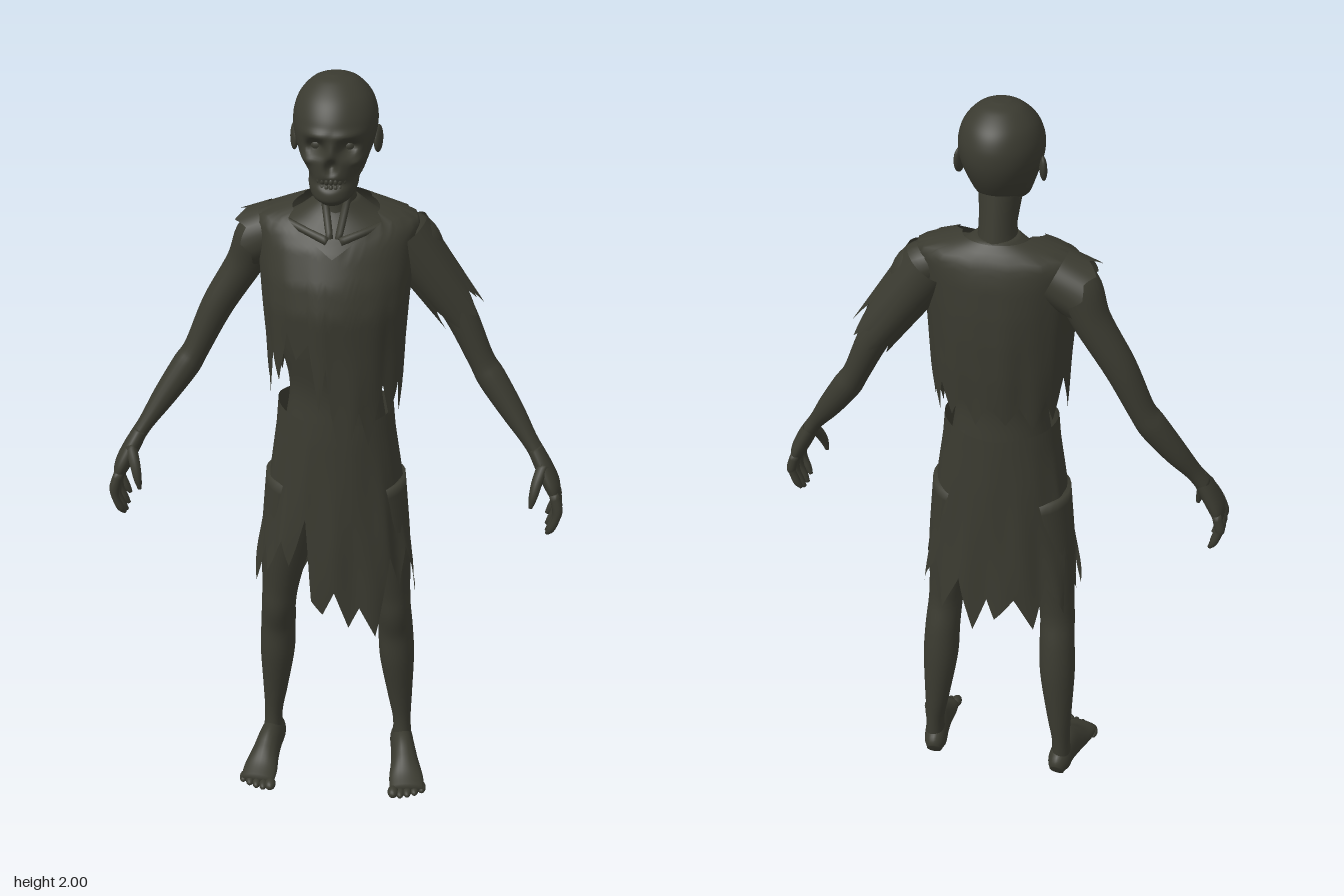
import * as THREE from 'three';

const material = new THREE.MeshStandardMaterial({ color: 0x3a3a30, side: THREE.DoubleSide });
material.name = 'dark olive grey';

// Closed-around surface from fn(u, v) -> Vector3, with shared vertices for smooth shading
function surface(name, nu, nv, fn) {
  const pos = [], idx = [];
  for (let i = 0; i <= nv; i++) {
    for (let j = 0; j < nu; j++) {
      pos.push(...fn(j / nu, i / nv, i).toArray());
      if (i === nv) continue;
      const a = i * nu + j, b = i * nu + (j + 1) % nu;
      idx.push(a, a + nu, b, b, a + nu, b + nu);
    }
  }
  const geo = new THREE.BufferGeometry();
  geo.setAttribute('position', new THREE.Float32BufferAttribute(pos, 3));
  geo.setIndex(idx);
  geo.computeVertexNormals();
  const mesh = new THREE.Mesh(geo, material);
  mesh.name = name;
  return mesh;
}

// Smooth closed loft through rings [x, y, z, halfWidth, halfDepth]
function limb(name, rings, { nu = 20, nv = 32, level = false, ref = [0, 0, 1], deform } = {}) {
  const path = new THREE.CatmullRomCurve3(rings.map(r => new THREE.Vector3(r[0], r[1], r[2])), false, 'catmullrom');
  const size = new THREE.CatmullRomCurve3(rings.map(r => new THREE.Vector3(r[3], r[4], 0)), false, 'catmullrom');
  return surface(name, nu, nv + 2, (u, v, i) => {
    const t = THREE.MathUtils.clamp((i - 1) / nv, 0, 1);
    const p = path.getPoint(t), s = size.getPoint(t);
    if (i === 0 || i === nv + 2) s.set(0, 0, 0);
    const T = level ? new THREE.Vector3(0, 1, 0)
      : path.getPoint(Math.min(1, t + 0.01)).sub(path.getPoint(Math.max(0, t - 0.01))).normalize();
    const W = new THREE.Vector3(...ref);
    W.addScaledVector(T, -W.dot(T)).normalize();
    const U = T.clone().cross(W);
    p.addScaledVector(U, s.x * Math.cos(u * Math.PI * 2)).addScaledVector(W, s.y * Math.sin(u * Math.PI * 2));
    if (deform) deform(p);
    return p;
  });
}

// Piecewise-linear lookup in rows [key, value, ...] with ascending keys
function lookup(rows, k) {
  let i = 0;
  while (i < rows.length - 2 && k > rows[i + 1][0]) i++;
  const a = rows[i], b = rows[i + 1];
  const t = THREE.MathUtils.clamp((k - a[0]) / (b[0] - a[0]), 0, 1);
  return a.slice(1).map((q, n) => q + (b[n + 1] - q) * t);
}

// Hanging cloth: profile rows [y, halfWidth, zFront, zBack], edges given by [degrees, y]
function cloth(name, profile, top, hem, ripple) {
  return surface(name, 180, 28, (u, v) => {
    const th = u * Math.PI * 2, deg = u * 360;
    const lo = lookup(hem, deg)[0], hi = lookup(top, deg)[0];
    const y = lo + (hi - lo) * v;
    const [a, zf, zb] = lookup(profile, y);
    const k = 1 + ripple * (1 - v) * (Math.sin(9 * th + y * 8) + 0.6 * Math.sin(16 * th - y * 5));
    return new THREE.Vector3(a * k * Math.cos(th), y, (zf + zb) / 2 + (zf - zb) / 2 * k * Math.sin(th));
  });
}

// Torn sleeve along a straight line, with a zigzag end
function sleeve(name, from, to, r0, r1, jag) {
  const A = new THREE.Vector3(...from), B = new THREE.Vector3(...to);
  const T = B.clone().sub(A).normalize(), W = new THREE.Vector3(0, 0, 1);
  W.addScaledVector(T, -W.dot(T)).normalize();
  const U = T.clone().cross(W);
  return surface(name, 84, 10, (u, v) => {
    const th = u * Math.PI * 2, w = (u * 7) % 1;
    const tooth = Math.abs(w - 0.5) * 2 * jag * (0.7 + 0.3 * Math.sin(th * 2 + 1));
    const r = r0 + (r1 - r0) * v;
    return A.clone().lerp(B, v * (1 - tooth)).addScaledVector(U, r * Math.cos(th)).addScaledVector(W, r * 1.1 * Math.sin(th));
  });
}

function ball(name, x, y, z, sx, sy, sz) {
  const m = new THREE.Mesh(new THREE.SphereGeometry(1, 16, 12), material);
  m.name = name;
  m.position.set(x, y, z);
  m.scale.set(sx, sy, sz);
  return m;
}

// Face dents [x, y, width, height, depth]: sockets, brow ridge, nose hollow, mouth, cheekbone
const dents = [[0.037, 1.857, 0.019, 0.016, 0.034], [0.035, 1.888, 0.03, 0.01, -0.008], [0, 1.816, 0.011, 0.016, 0.022],
  [0, 1.85, 0.012, 0.025, -0.006], [0, 1.776, 0.03, 0.011, 0.012], [0.062, 1.825, 0.014, 0.01, -0.012]];
function skull(p) {
  const ax = Math.abs(p.x), g = (x, y, w, h) => Math.exp(-(((ax - x) / w) ** 2) - ((p.y - y) / h) ** 2);
  if (p.z > 0.02) {
    let d = 0;
    for (const [x, y, w, h, depth] of dents) d += depth * g(x, y, w, h);
    p.z -= d;
    p.x *= 1 - 0.14 * g(0.07, 1.785, 0.03, 0.02);
  }
}

function head() {
  const g = new THREE.Group();
  g.name = 'head';
  // rows [y, halfWidth, zFront, zBack]
  const rows = [[1.727, 0.025, 0.12, 0.06], [1.74, 0.045, 0.13, 0.03], [1.76, 0.058, 0.13, -0.02], [1.785, 0.068, 0.126, -0.065],
    [1.815, 0.078, 0.124, -0.09], [1.85, 0.09, 0.122, -0.108], [1.885, 0.097, 0.118, -0.116], [1.92, 0.095, 0.107, -0.113],
    [1.955, 0.081, 0.083, -0.096], [1.985, 0.052, 0.045, -0.06], [1.998, 0.02, 0.014, -0.025]];
  g.add(limb('skull', rows.map(([y, a, f, b]) => [0, y, (f + b) / 2, a, (f - b) / 2]), { nu: 80, nv: 80, level: true, deform: skull }));
  for (const s of [-1, 1]) {
    g.add(ball('eye', s * 0.036, 1.856, 0.071, 0.017, 0.015, 0.016));
    const ear = ball('ear', s * 0.097, 1.845, -0.01, 0.009, 0.032, 0.019);
    ear.rotation.set(-0.2, s * -0.35, 0);
    g.add(ear);
  }
  // bared teeth in two rows
  for (const y of [1.783, 1.768]) {
    for (let i = -3; i <= 3; i++) {
      const t = i * 0.17;
      g.add(ball('tooth', 0.06 * Math.sin(t), y, 0.036 + 0.082 * Math.cos(t), 0.0055, 0.008, 0.006));
    }
  }
  return g;
}

function arm(s) {
  const g = new THREE.Group();
  g.name = s > 0 ? 'leftArm' : 'rightArm';
  const m = pts => pts.map(([x, ...r]) => [x * s, ...r]);
  g.add(limb('armSkin', m([[0.14, 1.61, -0.05, 0.05, 0.055], [0.19, 1.58, -0.055, 0.056, 0.058], [0.23, 1.5, -0.065, 0.046, 0.047],
    [0.3, 1.385, -0.065, 0.04, 0.042], [0.355, 1.27, -0.058, 0.033, 0.037], [0.385, 1.22, -0.05, 0.036, 0.038],
    [0.44, 1.14, -0.03, 0.03, 0.033], [0.485, 1.075, -0.008, 0.021, 0.026], [0.512, 1.035, 0.003, 0.02, 0.027]]), { nv: 48 }));
  g.add(limb('palm', m([[0.5, 1.055, 0, 0.019, 0.025], [0.525, 1.01, 0.01, 0.022, 0.038], [0.548, 0.965, 0.018, 0.021, 0.048],
    [0.558, 0.935, 0.02, 0.014, 0.044]])));
  for (let i = 0; i < 4; i++) {
    const z = -0.018 + i * 0.026, low = [0.02, 0.004, 0, 0.008][i];
    g.add(limb('finger', m([[0.553, 0.955, z, 0.012, 0.012], [0.565, 0.915, z * 1.1, 0.013, 0.013], [0.563, 0.88 + low, z * 1.15, 0.01, 0.01],
      [0.553, 0.85 + low, z * 1.1, 0.01, 0.01], [0.543, 0.832 + low, z, 0.005, 0.005]]), { nu: 10, nv: 14 }));
  }
  g.add(limb('thumb', m([[0.523, 1.02, 0.03, 0.015, 0.016], [0.51, 0.985, 0.055, 0.014, 0.014], [0.502, 0.95, 0.07, 0.011, 0.011],
    [0.497, 0.92, 0.074, 0.005, 0.005]]), { nu: 10, nv: 14 }));
  return g;
}

function leg(s) {
  const g = new THREE.Group();
  g.name = s > 0 ? 'leftLeg' : 'rightLeg';
  const m = pts => pts.map(([x, ...r]) => [x * s, ...r]);
  g.add(limb('legSkin', m([[0.185, 0.045, -0.045, 0.027, 0.038], [0.182, 0.13, -0.052, 0.025, 0.033], [0.175, 0.22, -0.05, 0.034, 0.04],
    [0.165, 0.36, -0.038, 0.047, 0.054], [0.16, 0.46, -0.028, 0.047, 0.054], [0.155, 0.54, -0.008, 0.046, 0.056],
    [0.148, 0.61, -0.004, 0.05, 0.058], [0.13, 0.75, 0, 0.066, 0.072], [0.1, 0.95, 0, 0.08, 0.088]]), { nu: 24, nv: 56 }));
  g.add(limb('foot', m([[0.179, 0.032, -0.088, 0.02, 0.026], [0.181, 0.045, -0.065, 0.031, 0.046], [0.187, 0.052, -0.02, 0.033, 0.054],
    [0.196, 0.04, 0.03, 0.038, 0.044], [0.204, 0.025, 0.08, 0.047, 0.027], [0.209, 0.017, 0.125, 0.047, 0.015]]),
  { nu: 24, ref: [0, 1, 0], deform: p => { p.y = Math.max(0, p.y); } }));
  for (let i = 0; i < 5; i++) {
    const r = i ? 0.0115 : 0.015;
    g.add(ball('toe', s * (0.171 + i * 0.0195), r, 0.134 - i * i * 0.0018, r, r, 0.021));
  }
  return g;
}

export function createModel() {
  const model = new THREE.Group();
  model.name = 'raggedUndeadFigure';
  model.add(head(), arm(1), arm(-1), leg(1), leg(-1));

  // gaunt torso, hips and neck
  model.add(limb('torso', [[0, 0.83, 0, 0.12, 0.08], [0, 0.97, 0, 0.14, 0.1], [0, 1.1, 0, 0.128, 0.1], [0, 1.22, 0, 0.115, 0.095],
    [0, 1.34, 0, 0.14, 0.115], [0, 1.47, -0.005, 0.162, 0.132], [0, 1.57, -0.022, 0.165, 0.113], [0, 1.625, -0.038, 0.145, 0.084],
    [0, 1.66, -0.045, 0.09, 0.065], [0, 1.69, -0.045, 0.05, 0.05]], { nu: 36, nv: 50, level: true }));
  model.add(limb('neck', [[0, 1.62, -0.04, 0.062, 0.068], [0, 1.68, -0.042, 0.047, 0.056], [0, 1.74, -0.035, 0.044, 0.053],
    [0, 1.82, -0.02, 0.05, 0.055]], { nu: 24, level: true }));
  for (const s of [-1, 1]) {
    model.add(limb('neckTendon', [[s * 0.01, 1.615, 0.05, 0.009, 0.009], [s * 0.025, 1.69, 0.006, 0.009, 0.009],
      [s * 0.046, 1.79, -0.02, 0.008, 0.008]], { nu: 8, nv: 12 }));
    model.add(limb('collarBone', [[s * 0.015, 1.612, 0.056, 0.011, 0.011], [s * 0.07, 1.63, 0.035, 0.009, 0.009],
      [s * 0.14, 1.645, -0.01, 0.01, 0.01]], { nu: 8, nv: 12, ref: [0, 1, 0] }));
  }

  // torn shirt with a V neck and a hanging front strip
  model.add(cloth('shirt',
    [[1, 0.165, 0.14, -0.13], [1.2, 0.165, 0.138, -0.137], [1.35, 0.172, 0.14, -0.15], [1.45, 0.178, 0.145, -0.155],
      [1.52, 0.183, 0.13, -0.155], [1.6, 0.19, 0.095, -0.15], [1.635, 0.198, 0.07, -0.142], [1.655, 0.19, 0.05, -0.135],
      [1.67, 0.145, 0.035, -0.125], [1.695, 0.065, 0.012, -0.105]],
    [[0, 1.69], [45, 1.672], [75, 1.62], [90, 1.585], [105, 1.62], [135, 1.672], [180, 1.69], [270, 1.69], [360, 1.69]],
    [[0, 1.26], [12, 1.16], [22, 1.25], [34, 1.17], [42, 1.26], [56, 1.1], [66, 1.2], [80, 1.04], [90, 1.2], [94, 1.32], [100, 1.2],
      [108, 1.38], [120, 1.33], [128, 1.4], [140, 1.26], [148, 1.33], [164, 1.18], [176, 1.34], [186, 1.22], [196, 1.32], [210, 1.21],
      [220, 1.28], [232, 1.2], [244, 1.27], [256, 1.22], [270, 1.28], [282, 1.21], [294, 1.29], [306, 1.22], [318, 1.3], [330, 1.2],
      [344, 1.32], [352, 1.21], [360, 1.26]], 0.012));
  model.add(sleeve('leftSleeve', [0.155, 1.6, -0.05], [0.31, 1.385, -0.063], 0.07, 0.058, 0.32));
  model.add(sleeve('rightShoulderFlap', [-0.14, 1.605, -0.05], [-0.215, 1.57, -0.055], 0.066, 0.072, 0.4));

  // ragged skirt
  model.add(cloth('skirt',
    [[0.5, 0.225, 0.135, -0.125], [0.65, 0.212, 0.133, -0.122], [0.8, 0.19, 0.13, -0.12], [1, 0.164, 0.122, -0.118],
      [1.1, 0.15, 0.118, -0.115], [1.18, 0.143, 0.112, -0.112]],
    [[0, 1.165], [60, 1.15], [120, 1.155], [180, 1.175], [270, 1.15], [360, 1.165]],
    [[0, 0.68], [10, 0.62], [20, 0.77], [32, 0.66], [42, 0.76], [60, 0.53], [70, 0.62], [78, 0.56], [88, 0.67], [96, 0.6], [104, 0.64],
      [112, 0.88], [124, 0.73], [132, 0.8], [148, 0.69], [156, 0.76], [168, 0.63], [178, 0.78], [190, 0.65], [204, 0.78], [214, 0.6],
      [228, 0.7], [240, 0.56], [254, 0.66], [268, 0.59], [274, 0.65], [284, 0.54], [296, 0.7], [310, 0.58], [324, 0.72], [340, 0.61],
      [350, 0.73], [360, 0.68]], 0.022));
  return model;
}
